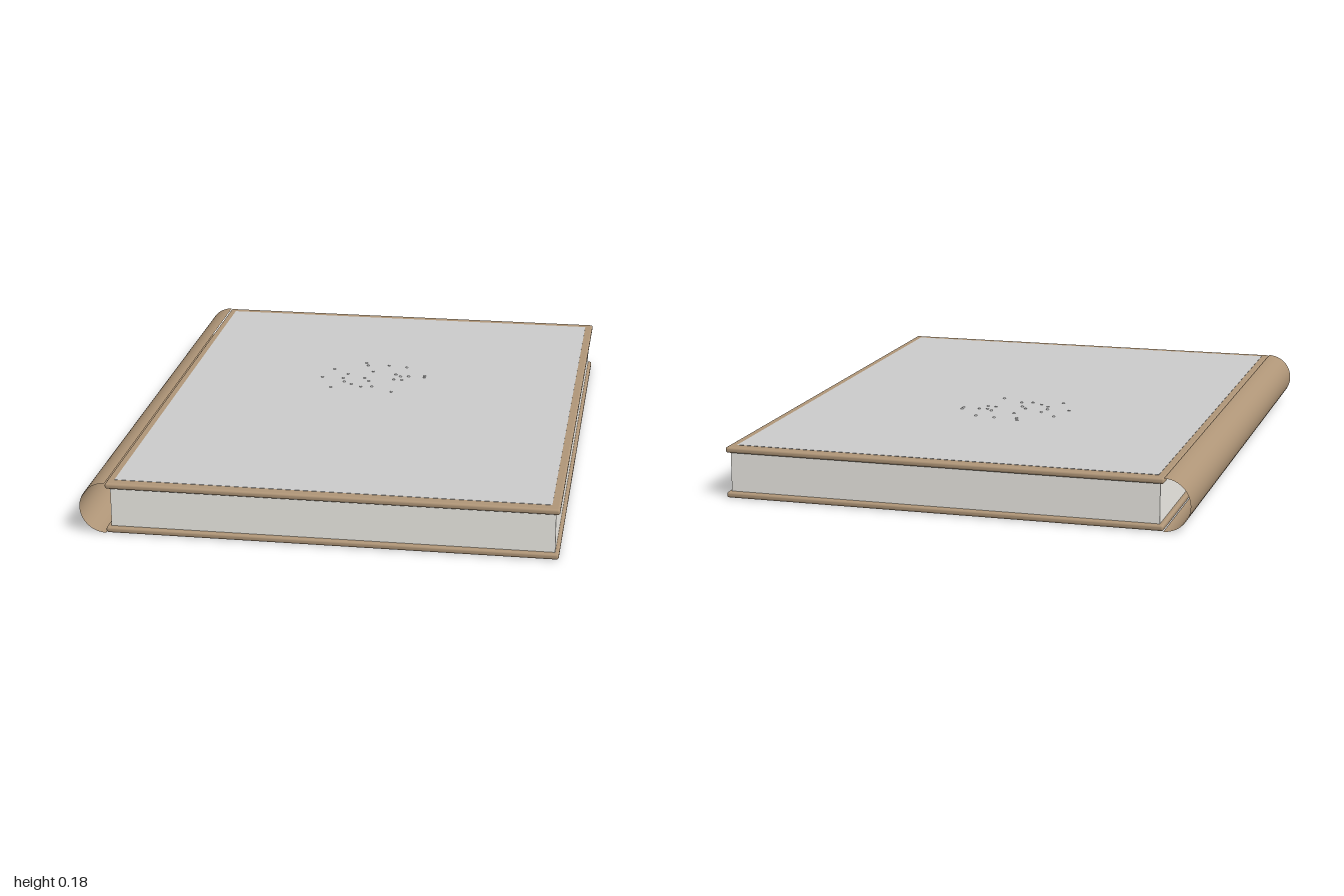
import * as THREE from 'three';
import { RoundedBoxGeometry } from 'three/addons/geometries/RoundedBoxGeometry.js';

const leather = new THREE.MeshStandardMaterial({ color: 0xb09678 });
const spineLeather = new THREE.MeshStandardMaterial({ color: 0xb09678, side: THREE.DoubleSide });
const paper = new THREE.MeshStandardMaterial({ color: 0xf0eee8 });
const grey = new THREE.MeshStandardMaterial({ color: 0xcccccc });

const HEIGHT = 0.175, BOARD = 0.02, HINGE_X = -0.705, EDGE_X = 0.793;

export function createModel() {
  const group = new THREE.Group();
  const add = (name, geometry, material, x, y, z) => {
    const mesh = new THREE.Mesh(geometry, material);
    mesh.name = name;
    mesh.position.set(x, y, z);
    group.add(mesh);
    return mesh;
  };

  // Two cover boards with rounded edges
  const coverX = (HINGE_X + EDGE_X) / 2;
  const board = new RoundedBoxGeometry(EDGE_X - HINGE_X, BOARD, 2, 3, 0.008);
  add('backCover', board, leather, coverX, BOARD / 2, 0);
  add('frontCover', board, leather, coverX, HEIGHT - BOARD / 2, 0);

  // Page block, set in slightly from the boards
  add('pages', new THREE.BoxGeometry(1.47, HEIGHT - 2 * BOARD, 1.966), paper, 0.045, HEIGHT / 2, 0);

  // Thin half-round spine, open at both ends
  const spine = new THREE.CylinderGeometry(HEIGHT / 2, HEIGHT / 2, 2, 32, 1, true, 0, Math.PI);
  spine.rotateY(Math.PI).rotateX(Math.PI / 2).rotateZ(0);
  // The half shell bulges away from the pages, towards -x
  add('spine', spine, spineLeather, HINGE_X, HEIGHT / 2, 0);

  // Inlaid panel on the front cover
  add('coverPanel', new THREE.BoxGeometry(1.445, 0.004, 1.925), grey, 0.0425, HEIGHT - 0.001, 0);

  // Cluster of tiny studs on the panel
  const studs = [
    [-0.04, -0.37], [-0.03, -0.34], [0.05, -0.35], [0.12, -0.34], [-0.15, -0.28], [0, -0.27],
    [-0.09, -0.23], [0.09, -0.25], [0.11, -0.23], [0.14, -0.235], [0.2, -0.25], [0.2, -0.23],
    [-0.18, -0.18], [-0.1, -0.18], [-0.02, -0.19], [0, -0.16], [0.09, -0.19], [0.12, -0.19],
    [-0.09, -0.14], [-0.06, -0.115], [-0.02, -0.09], [0.02, -0.1], [-0.13, -0.07], [0.1, -0.05],
  ];
  const stud = new THREE.SphereGeometry(0.006, 8, 6);
  for (const [x, z] of studs) add('stud', stud, grey, x, HEIGHT - 0.001, z);

  return group;
}
